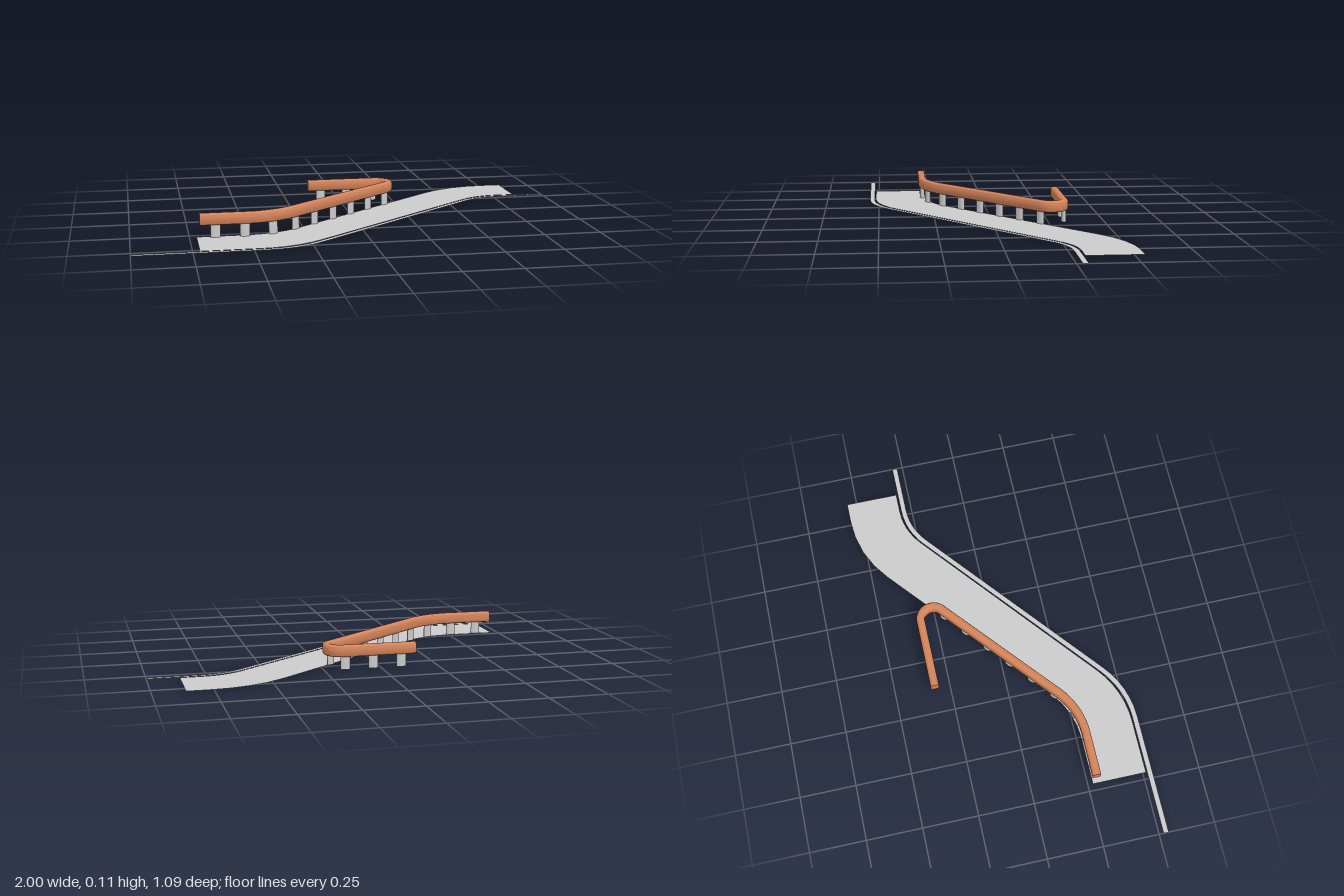
import * as THREE from 'three';
import { toCreasedNormals } from 'three/addons/utils/BufferGeometryUtils.js';

// Plan path from [x, z, tangent] corners; each corner with a tangent length becomes a circular arc.
function plan(corners, steps) {
  const out = [];
  corners.forEach(([x, z, t], i) => {
    const c = new THREE.Vector2(x, z);
    if (!t) return out.push(c);
    const toward = (k) => new THREE.Vector2(corners[k][0], corners[k][1]).sub(c).normalize();
    const u = toward(i - 1), v = toward(i + 1);
    const a = c.clone().addScaledVector(u, t), b = c.clone().addScaledVector(v, t);
    const w = Math.sqrt((1 - u.dot(v)) / 2);
    for (let k = 0; k <= steps; k++) {
      const s = k / steps, p = (1 - s) ** 2, q = 2 * w * s * (1 - s), r = s * s;
      out.push(a.clone().multiplyScalar(p).addScaledVector(c, q).addScaledVector(b, r).divideScalar(p + q + r));
    }
  });
  return out;
}

// Unit side vector of a path at point i, averaged at the joints.
function sideAt(path, i) {
  const d = new THREE.Vector2();
  if (i > 0) d.add(path[i].clone().sub(path[i - 1]).normalize());
  if (i < path.length - 1) d.add(path[i + 1].clone().sub(path[i]).normalize());
  d.normalize();
  return new THREE.Vector2(-d.y, d.x);
}

// Sweep a closed (side, height) section along a plan path, with end caps.
function sweep(path, section) {
  const n = section.length, pos = [], idx = [];
  path.forEach((p, i) => {
    const s = sideAt(path, i);
    section.forEach(([a, h]) => pos.push(p.x + s.x * a, h, p.y + s.y * a));
  });
  for (let i = 0; i < path.length - 1; i++) {
    for (let j = 0; j < n; j++) {
      const a = i * n + j, b = i * n + (j + 1) % n;
      idx.push(a, a + n, b, b, a + n, b + n);
    }
  }
  const last = (path.length - 1) * n;
  for (let j = 1; j < n - 1; j++) {
    idx.push(0, j, j + 1, last, last + j + 1, last + j);
  }
  const g = new THREE.BufferGeometry();
  g.setAttribute('position', new THREE.Float32BufferAttribute(pos, 3));
  g.setIndex(idx);
  return toCreasedNormals(g, 0.75);
}

// Flat sheet on the ground between two edges.
function sheet(edgeA, edgeB) {
  const outline = [...edgeA, ...edgeB.slice().reverse()].map((p) => new THREE.Vector2(p.x, -p.y));
  return new THREE.ShapeGeometry(new THREE.Shape(outline)).rotateX(-Math.PI / 2);
}

export function createModel() {
  const group = new THREE.Group();
  const grey = new THREE.MeshStandardMaterial({ color: 0xcccccc });
  const ground = new THREE.MeshStandardMaterial({ color: 0xcccccc, side: THREE.DoubleSide });
  const wood = new THREE.MeshStandardMaterial({ color: 0xd4845a });
  const add = (name, geometry, material, parent = group) => {
    const m = new THREE.Mesh(geometry, material);
    m.name = name;
    parent.add(m);
    return m;
  };

  // Walkway
  const backEdge = plan([[-0.72, 0.273], [-0.376, 0.273, 0.13], [0.589, -0.545, 0.18]  , [0.862, -0.545]], 4);
  const frontEdge = plan([[-0.72, 0.515], [-0.325, 0.515, 0.15], [0.669, -0.306, 0.1], [0.862, -0.306]], 6);
  add('walkway', sheet(backEdge, frontEdge), ground);

  // Kerb strip
  const kerb = plan([[-1, 0.532], [-0.32, 0.532, 0.14], [0.67, -0.287, 0.1], [1, -0.287]], 6);
  const offset = (d) => kerb.map((p, i) => p.clone().addScaledVector(sideAt(kerb, i), d));
  add('kerb', sheet(offset(-0.0115), offset(0.0115)), ground);

  // Bench rail with a rounded rectangular section
  const railPath = plan([[-0.707, 0.288], [-0.39, 0.288, 0.12], [0.325, -0.32, 0.16], [-0.155, -0.32]], 16);
  const section = [];
  const halfW = 0.0185, halfH = 0.0255, r = 0.013;
  [[1, 1], [-1, 1], [-1, -1], [1, -1]].forEach(([sx, sy], q) => {
    for (let k = 0; k <= 4; k++) {
      const a = (q + k / 4) * Math.PI / 2;
      section.push([sx * (halfW - r) + r * Math.cos(a), 0.08 + sy * (halfH - r) + r * Math.sin(a)]);
    }
  });
  add('benchRail', sweep(railPath, section), wood);

  // Oval posts: nine up to the hairpin, three on the short return leg
  const posts = new THREE.Group();
  posts.name = 'posts';
  group.add(posts);
  const postGeometry = new THREE.CylinderGeometry(1, 1, 0.06, 16).scale(0.0215, 1, 0.0105);
  const lengths = [0];
  for (let i = 1; i < railPath.length; i++) lengths.push(lengths[i - 1] + railPath[i].distanceTo(railPath[i - 1]));
  const total = lengths[lengths.length - 1];
  for (let k = 0; k < 12; k++) {
    const s = k < 9 ? 0.067 + 0.1262 * k : total - 0.063 - 0.124 * (11 - k);
    const i = lengths.findIndex((l) => l >= s);
    const a = railPath[i - 1], b = railPath[i];
    const p = a.clone().lerp(b, (s - lengths[i - 1]) / (lengths[i] - lengths[i - 1]));
    const post = add('post', postGeometry, grey, posts);
    post.position.set(p.x, 0.03, p.y);
    post.rotation.y = -Math.atan2(b.y - a.y, b.x - a.x);
  }
  return group;
}
